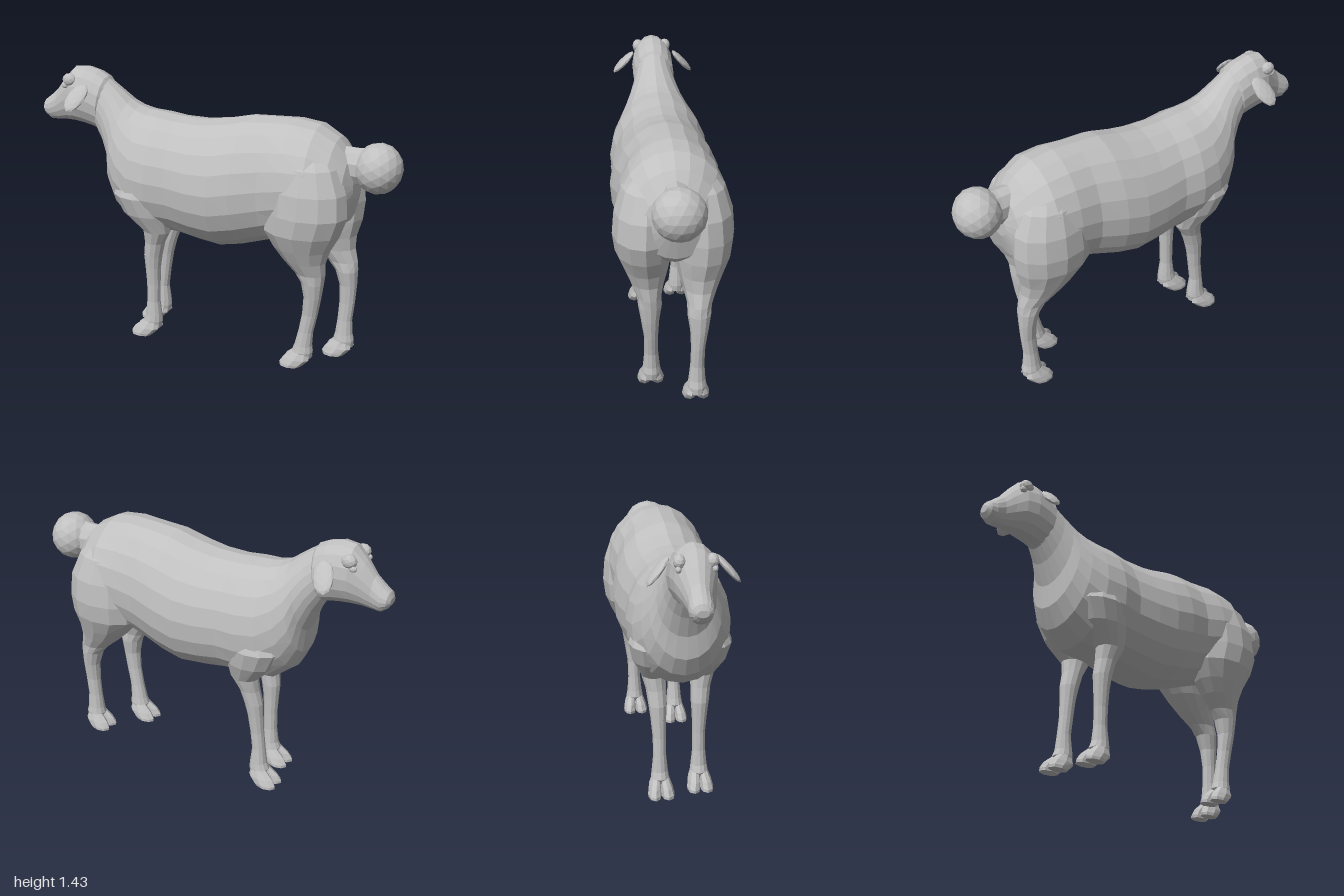
import * as THREE from 'three';

const coat = new THREE.MeshStandardMaterial({ color: 0xc0c0c0, flatShading: true });
coat.name = 'pale grey coat';

// Skin a list of rings (arrays of [x, y, z]) and close both ends; faces always point outward
function skin(name, rings) {
  const n = rings[0].length, pos = rings.flat(2), idx = [];
  for (let r = 0; r < rings.length - 1; r++)
    for (let i = 0; i < n; i++) {
      const a = r * n + i, b = r * n + (i + 1) % n;
      idx.push(a, b, a + n, b, b + n, a + n);
    }
  [0, rings.length - 1].forEach((r, end) => {
    const c = [0, 1, 2].map(k => rings[r].reduce((s, p) => s + p[k], 0) / n);
    const ci = pos.length / 3;
    pos.push(...c);
    for (let i = 0; i < n; i++) {
      const a = r * n + i, b = r * n + (i + 1) % n;
      idx.push(...(end ? [a, b, ci] : [b, a, ci]));
    }
  });
  // Signed volume tells whether the winding must be reversed
  const v = i => new THREE.Vector3(pos[i * 3], pos[i * 3 + 1], pos[i * 3 + 2]);
  let volume = 0;
  for (let i = 0; i < idx.length; i += 3)
    volume += v(idx[i]).dot(v(idx[i + 1]).cross(v(idx[i + 2])));
  if (volume < 0) idx.reverse();
  const g = new THREE.BufferGeometry();
  g.setAttribute('position', new THREE.Float32BufferAttribute(pos, 3));
  g.setIndex(idx);
  g.computeVertexNormals();
  const mesh = new THREE.Mesh(g, coat);
  mesh.name = name;
  return mesh;
}

// Upright egg-shaped rings given by top point, bottom point and half width
function spineLoft(name, sections, sides = 20, egg = 0.06) {
  return skin(name, sections.map(([tx, ty, bx, by, w]) =>
    Array.from({ length: sides }, (_, i) => {
      const a = i / sides * Math.PI * 2, c = Math.cos(a);
      return [(tx + bx) / 2 + c * (tx - bx) / 2, (ty + by) / 2 + c * (ty - by) / 2,
        w * Math.sin(a) * (1 - egg * c)];
    })));
}

// Level rings: [y, centre x, x radius, centre z, z radius]
function levelLoft(name, sections, side, shift, sides = 12) {
  return skin(name, sections.map(([y, cx, rx, cz, rz]) =>
    Array.from({ length: sides }, (_, i) => {
      const a = i / sides * Math.PI * 2;
      return [cx + shift(y) + rx * Math.cos(a), y, side * (cz + rz * Math.sin(a))];
    })));
}

function ball(name, x, y, z, sx, sy, sz, detail = 2) {
  const m = new THREE.Mesh(new THREE.IcosahedronGeometry(1, detail), coat);
  m.name = name;
  m.position.set(x, y, z);
  m.scale.set(sx, sy, sz);
  return m;
}

// Rump to chest and up the neck
const torso = [
  [.775, 1.05, .78, .92, .07], [.745, 1.14, .75, .8, .16], [.68, 1.22, .68, .75, .22],
  [.58, 1.275, .58, .73, .265], [.46, 1.29, .46, .69, .265], [.34, 1.285, .34, .64, .25],
  [.2, 1.275, .2, .595, .275], [.08, 1.245, .08, .57, .28], [-.05, 1.225, -.04, .582, .268],
  [-.18, 1.225, -.16, .6, .25], [-.28, 1.235, -.28, .605, .262], [-.36, 1.24, -.42, .62, .245],
  [-.42, 1.255, -.52, .7, .21], [-.47, 1.28, -.57, .8, .175], [-.51, 1.31, -.578, .92, .145],
  [-.55, 1.34, -.62, 1.03, .12], [-.6, 1.375, -.66, 1.1, .105], [-.65, 1.39, -.69, 1.13, .08],
];
// Back of the skull to the muzzle
const skull = [
  [-.58, 1.35, -.63, 1.12, .08], [-.61, 1.39, -.65, 1.1, .112], [-.66, 1.415, -.69, 1.11, .112],
  [-.73, 1.432, -.74, 1.12, .112], [-.8, 1.425, -.8, 1.125, .1], [-.86, 1.36, -.85, 1.125, .076],
  [-.91, 1.295, -.9, 1.12, .058], [-.96, 1.25, -.95, 1.118, .058], [-.988, 1.228, -.98, 1.14, .05],
  [-1, 1.2, -.998, 1.165, .028],
];
const hindLeg = [
  [1.2, .55, .08, .1, .06], [1.1, .56, .16, .13, .115], [.98, .57, .2, .14, .143],
  [.86, .57, .21, .145, .148], [.76, .545, .2, .14, .14], [.67, .545, .15, .13, .112],
  [.6, .56, .112, .125, .085], [.53, .59, .08, .118, .06], [.48, .603, .06, .115, .058],
  [.4, .605, .047, .115, .045], [.3, .592, .042, .11, .035], [.2, .572, .04, .108, .035],
  [.12, .56, .047, .107, .042], [.085, .556, .056, .107, .048], [.05, .565, .04, .107, .04],
];
const foreLeg = [
  [.98, -.34, .09, .13, .07], [.82, -.35, .15, .145, .113], [.72, -.32, .13, .14, .095],
  [.62, -.27, .075, .125, .062], [.55, -.288, .055, .115, .052], [.47, -.303, .05, .11, .047],
  [.4, -.306, .042, .108, .04], [.3, -.306, .037, .105, .034], [.2, -.308, .036, .105, .034],
  [.12, -.308, .046, .105, .042], [.085, -.314, .055, .105, .047], [.05, -.305, .04, .105, .04],
];

function leg(name, sections, side, shift) {
  const g = new THREE.Group();
  g.name = name;
  g.add(levelLoft(name + 'Limb', sections, side, shift));
  // Cloven hoof: two toes pointing forward
  const [, cx, , cz] = sections[sections.length - 2];
  for (const t of [-1, 1])
    g.add(levelLoft(name + 'Toe', [
      [.085, cx - .005, .042, cz + t * .022, .024], [.045, cx - .025, .07, cz + t * .03, .031],
      [.015, cx - .05, .064, cz + t * .034, .034], [0, cx - .058, .055, cz + t * .034, .033],
    ], side, shift, 8));
  return g;
}

export function createModel() {
  const sheep = new THREE.Group();
  sheep.name = 'sheep';
  sheep.add(spineLoft('body', torso), spineLoft('head', skull, 16, 0));

  // Round tail on a short stub
  sheep.add(ball('tail', .882, 1.088, 0, .12, .127, .128));
  sheep.add(spineLoft('tailStub', [
    [.68, 1.18, .7, 1.0, .07], [.78, 1.18, .78, .99, .08], [.86, 1.19, .86, 1.0, .09],
  ], 10, 0));

  // The stance is staggered: one hind leg stands back, one foreleg forward
  const still = () => 0;
  const back = y => y > .5 ? .1 * Math.max(0, Math.min(1, (.85 - y) / .35)) : .1 + .12 * (.5 - y);
  const forward = y => -.05 * Math.max(0, Math.min(1, (.7 - y) / .5));
  sheep.add(leg('nearHindLeg', hindLeg, 1, still), leg('farHindLeg', hindLeg, -1, back));
  sheep.add(leg('nearForeleg', foreLeg, 1, still), leg('farForeleg', foreLeg, -1, forward));

  for (const s of [1, -1]) {
    // Drooping ear, a thin leaf leaning outward
    const ear = ball('ear', -.713, 1.298, s * .162, .052, .088, .018, 1);
    ear.rotation.set(-s * .72, 0, -.35);
    sheep.add(ear);
    // Brow and eye bump
    sheep.add(ball('brow', -.8, 1.365, s * .075, .04, .035, .03, 1));
    sheep.add(ball('eye', -.825, 1.335, s * .083, .02, .017, .014, 1));
  }
  return sheep;
}
